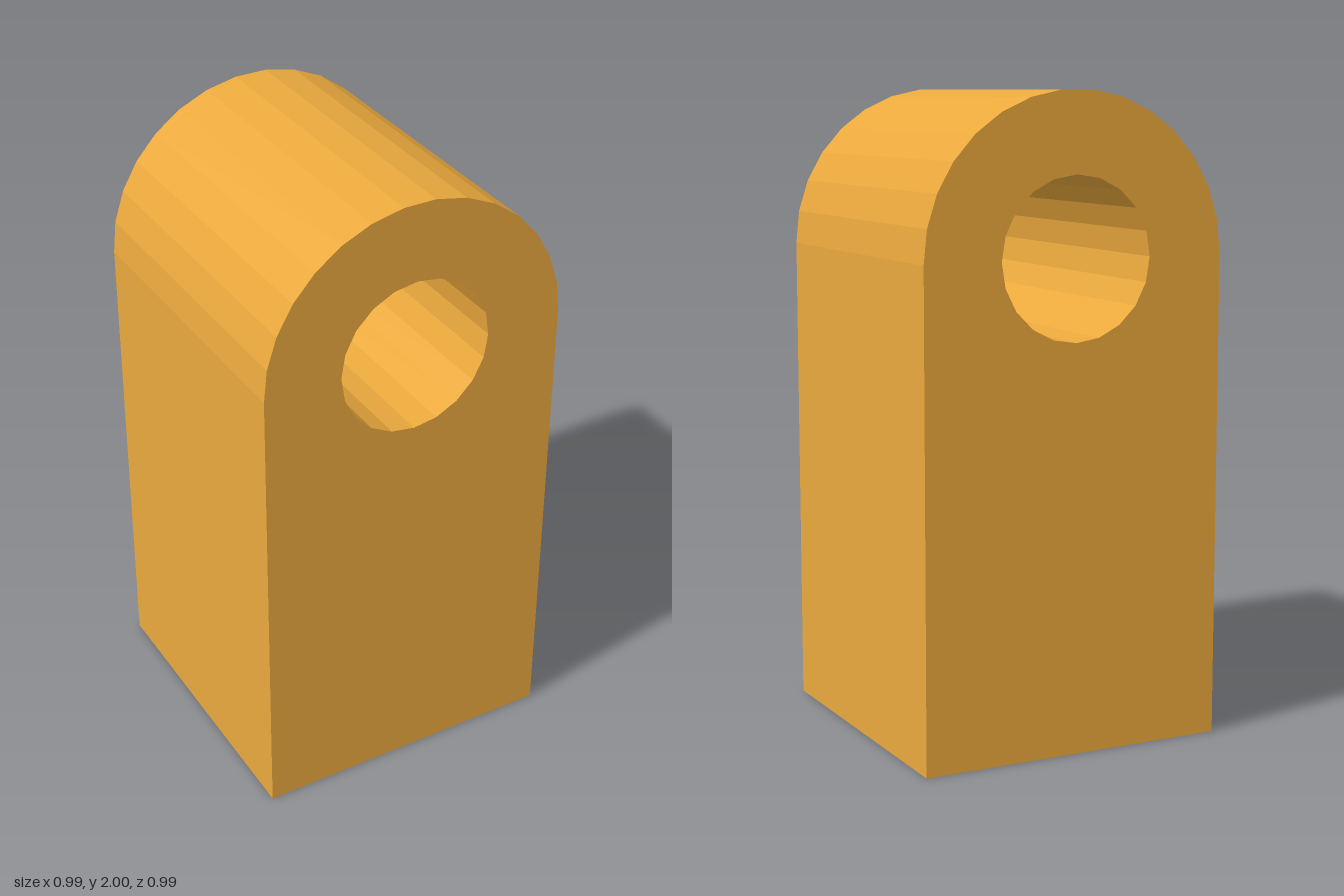
import * as THREE from 'three';

const R = 0.495;         // half width, and radius of the rounded top
const HOLE = R / 2;      // radius of both bores
const AXIS = 1.508;      // height of the cross bore
const SOCKET_DEPTH = 1;  // depth of the blind bore in the base

// Points on a circle or arc, one per facet corner
function arc(cx, cy, r, from, to, steps) {
  return Array.from({ length: steps + 1 }, (_, i) => {
    const a = from + (to - from) * i / steps;
    return new THREE.Vector2(cx + r * Math.cos(a), cy + r * Math.sin(a));
  });
}

const circle = (cx, cy) => arc(cx, cy, HOLE, 0, 2 * Math.PI, 20).slice(0, -1);

// Drop the triangles lying on y = 0, so the drilled base can take their place
function openBottom(geometry) {
  const p = geometry.getAttribute('position');
  const kept = [];
  for (let i = 0; i < p.count; i += 3) {
    if (Math.max(p.getY(i), p.getY(i + 1), p.getY(i + 2)) < 1e-6) continue;
    for (let j = i; j < i + 3; j++) kept.push(p.getX(j), p.getY(j), p.getZ(j));
  }
  const open = new THREE.BufferGeometry();
  open.setAttribute('position', new THREE.Float32BufferAttribute(kept, 3));
  open.computeVertexNormals();
  return open;
}

export function createModel() {
  const group = new THREE.Group();
  group.name = 'eyeBlock';
  const material = new THREE.MeshStandardMaterial({ color: 0xeba93d, flatShading: true });
  const add = (name, geometry) => {
    const mesh = new THREE.Mesh(geometry, material);
    mesh.name = name;
    group.add(mesh);
  };

  // Round-topped block with the cross bore; the arch has 12 degree facets
  const profile = new THREE.Shape([
    new THREE.Vector2(-R, 0), new THREE.Vector2(R, 0),
    ...arc(0, AXIS, R, 0, Math.PI, 15),
  ]);
  profile.holes.push(new THREE.Path(circle(0, AXIS)));
  const body = new THREE.ExtrudeGeometry(profile, { depth: 2 * R, bevelEnabled: false });
  add('body', openBottom(body.translate(0, 0, -R)));

  // Underside with the round socket opening
  const base = new THREE.Shape([[-R, -R], [R, -R], [R, R], [-R, R]].map(c => new THREE.Vector2(...c)));
  base.holes.push(new THREE.Path(circle(0, 0)));
  add('base', new THREE.ShapeGeometry(base).rotateX(Math.PI / 2));

  // Socket wall, mirrored so that its faces point inward
  const wall = new THREE.CylinderGeometry(HOLE, HOLE, SOCKET_DEPTH, 20, 1, true);
  wall.scale(-1, 1, 1).translate(0, SOCKET_DEPTH / 2, 0);
  wall.computeVertexNormals();
  add('socketWall', wall);

  // Closed inner end of the socket, facing down
  add('socketEnd', new THREE.CircleGeometry(HOLE, 20).rotateX(Math.PI / 2).translate(0, SOCKET_DEPTH, 0));

  return group;
}
